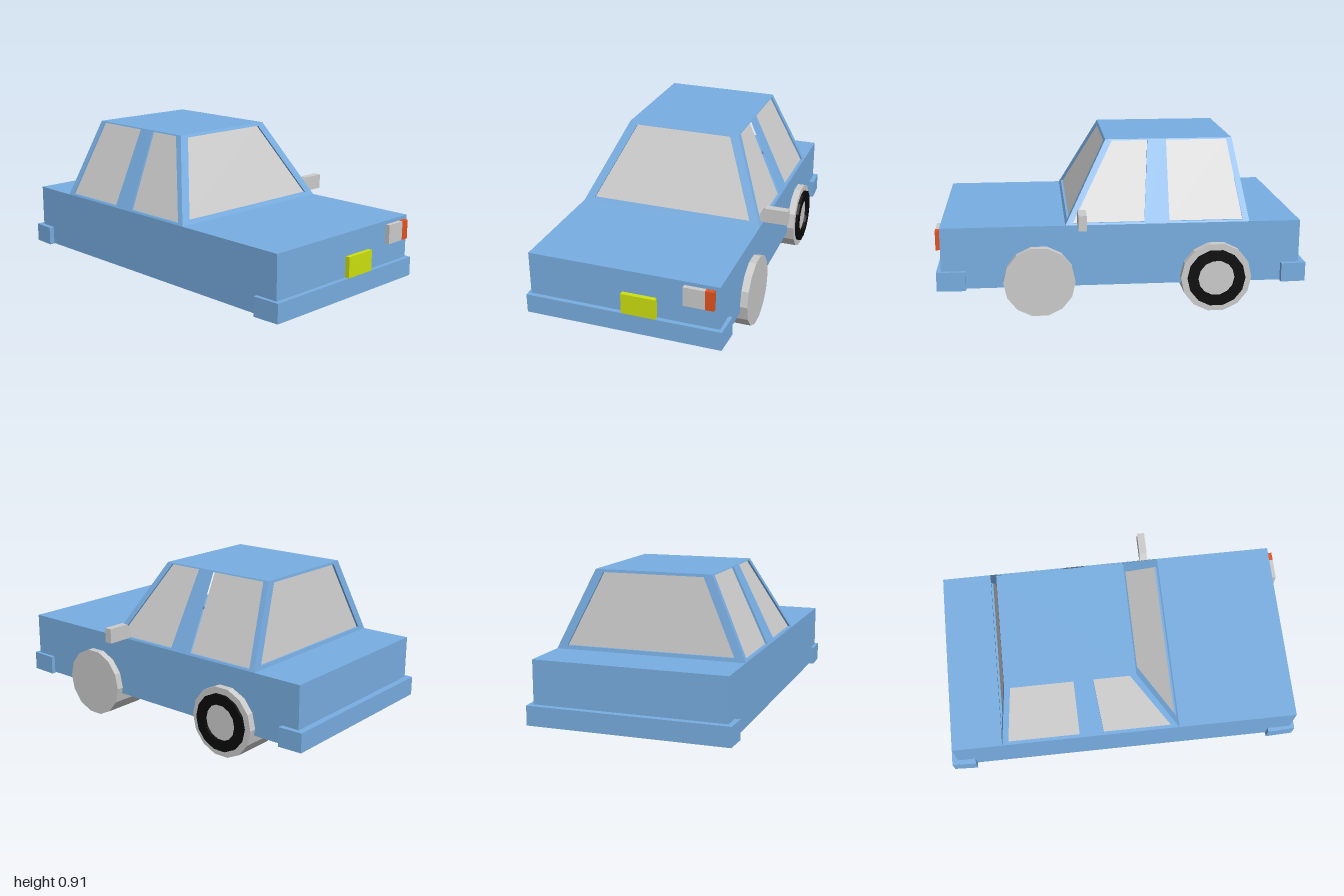
import * as THREE from 'three';

const material = (color) => new THREE.MeshStandardMaterial({ color, flatShading: true });
const blue = material(0x78aee2);
const grey = material(0xcccccc);
const white = material(0xf2f2f2);
const orange = material(0xe2521e);
const yellow = material(0xcee10f);
const black = material(0x0a0a0a);

const CENTRE_X = -0.055; // middle of the body shell
const SILL = 0.49, ROOF = 0.915;

function add(parent, name, geometry, mat) {
  const mesh = new THREE.Mesh(geometry, mat);
  mesh.name = name;
  parent.add(mesh);
  return mesh;
}

// Box given by its minimum and maximum on each axis
function block(parent, name, mat, [x0, x1], [y0, y1], [z0, z1]) {
  const mesh = add(parent, name, new THREE.BoxGeometry(x1 - x0, y1 - y0, z1 - z0), mat);
  mesh.position.set((x0 + x1) / 2, (y0 + y1) / 2, (z0 + z1) / 2);
}

const outline = (points) => new THREE.Shape(points.map(([x, y]) => new THREE.Vector2(x, y)));

const prism = (shape, depth) =>
  new THREE.ExtrudeGeometry(shape, { depth, bevelEnabled: false });

// Leaning cabin wall: frame with window openings, and glass set back in them.
// Points are (sideways, height); reach is the outward distance at sill and roof.
function cabinWall(parent, name, angle, [reachSill, reachRoof], frame, windows) {
  const thickness = 0.015;
  const slope = (reachSill - reachRoof) / (ROOF - SILL);
  const out = new THREE.Vector3(Math.sin(angle), 0, Math.cos(angle));
  const side = new THREE.Vector3(Math.cos(angle), 0, -Math.sin(angle));
  const up = new THREE.Vector3(0, 1, 0).addScaledVector(out, -slope);
  const lean = new THREE.Matrix4().makeBasis(side, up, out);
  lean.setPosition(out.clone().multiplyScalar(reachSill + slope * SILL - thickness));

  const shape = outline(frame);
  shape.holes = windows.map(outline);
  add(parent, name + 'Frame', prism(shape, thickness).applyMatrix4(lean), blue);
  windows.forEach((w) => {
    const glass = new THREE.ShapeGeometry(outline(w)).translate(0, 0, 0.003);
    add(parent, name + 'Window', glass.applyMatrix4(lean), grey);
  });
}

function buildCabin() {
  const cabin = new THREE.Group();
  cabin.name = 'cabin';
  cabin.position.x = CENTRE_X;

  // Windscreen and rear window
  const endFrame = [[-0.52, SILL], [0.52, SILL], [0.32, ROOF], [-0.32, ROOF]];
  const endWindow = [[-0.46, 0.51], [0.46, 0.51], [0.275, 0.9], [-0.275, 0.9]];
  cabinWall(cabin, 'front', 0, [0.31, 0.08], endFrame, [endWindow]);
  cabinWall(cabin, 'rear', Math.PI, [0.685, 0.615], endFrame, [endWindow]);

  // Sides, each with two windows; points are (z, height)
  const sideFrame = [[-0.685, SILL], [0.31, SILL], [0.08, ROOF], [-0.615, ROOF]];
  const sideWindows = [
    [[-0.115, 0.5], [0.27, 0.5], [0.045, 0.908], [-0.15, 0.908]],
    [[-0.65, 0.5], [-0.25, 0.5], [-0.252, 0.908], [-0.585, 0.908]],
  ];
  for (const s of [1, -1]) {
    const flip = (points) => points.map(([z, y]) => [-s * z, y]);
    cabinWall(cabin, s > 0 ? 'leftSide' : 'rightSide', s * Math.PI / 2, [0.52, 0.32],
      flip(sideFrame), sideWindows.map(flip));
  }

  block(cabin, 'roof', blue, [-0.32, 0.32], [ROOF - 0.006, ROOF], [-0.615, 0.08]);
  return cabin;
}

// U-shaped bumper wrapping round the body corners, end = 1 front, -1 rear
function bumper(parent, name, end, bottom, halfWidth, bodyEnd, wrapEnd) {
  const inner = 0.515;
  const plan = [
    [-halfWidth, wrapEnd], [-inner, wrapEnd], [-inner, bodyEnd], [inner, bodyEnd],
    [inner, wrapEnd], [halfWidth, wrapEnd], [halfWidth - 0.006, 1], [0.006 - halfWidth, 1],
  ];
  const geometry = prism(outline(plan.map(([x, z]) => [x, -end * z])), 0.105);
  geometry.rotateX(-Math.PI / 2);
  add(parent, name, geometry, blue).position.set(CENTRE_X, bottom, 0);
}

function buildWheel(name, z) {
  const wheel = new THREE.Group();
  wheel.name = name;
  wheel.position.set(0.385, 0.1885, z);
  wheel.rotation.z = -Math.PI / 2;
  add(wheel, 'tyre', new THREE.CylinderGeometry(0.1933, 0.1933, 0.24, 14), grey);
  return wheel;
}

export function createModel() {
  const car = new THREE.Group();
  car.name = 'car';

  block(car, 'body', blue, [-0.575, 0.465], [0.153, SILL], [-0.965, 0.975]);
  car.add(buildCabin());
  bumper(car, 'frontBumper', 1, 0.147, 0.543, 0.97, 0.845);
  bumper(car, 'rearBumper', -1, 0.15, 0.55, 0.96, 0.865);

  // Front plate and lamps
  block(car, 'frontPlate', yellow, [-0.055, 0.132], [0.25, 0.365], [0.97, 1]);
  block(car, 'headlamp', white, [0.278, 0.394], [0.365, 0.47], [0.97, 1]);
  block(car, 'indicator', orange, [0.394, 0.441], [0.365, 0.47], [0.97, 1]);

  // Wheels on the left side, the rear one with a dark ring
  const rearWheel = buildWheel('rearWheel', -0.504);
  const ring = [[0.1, 0.11], [0.158, 0.11], [0.158, 0.135], [0.1, 0.135], [0.1, 0.11]];
  add(rearWheel, 'wheelRing',
    new THREE.LatheGeometry(ring.map(([r, y]) => new THREE.Vector2(r, y)), 14), black);
  car.add(buildWheel('frontWheel', 0.453), rearWheel);

  // Door mirror with a chamfered inner corner
  const mirror = outline([[0.43, 0.495], [0.6, 0.495], [0.6, 0.577], [0.472, 0.577], [0.445, 0.535]]);
  add(car, 'doorMirror', prism(mirror, 0.043), grey).position.z = 0.203;

  return car;
}
